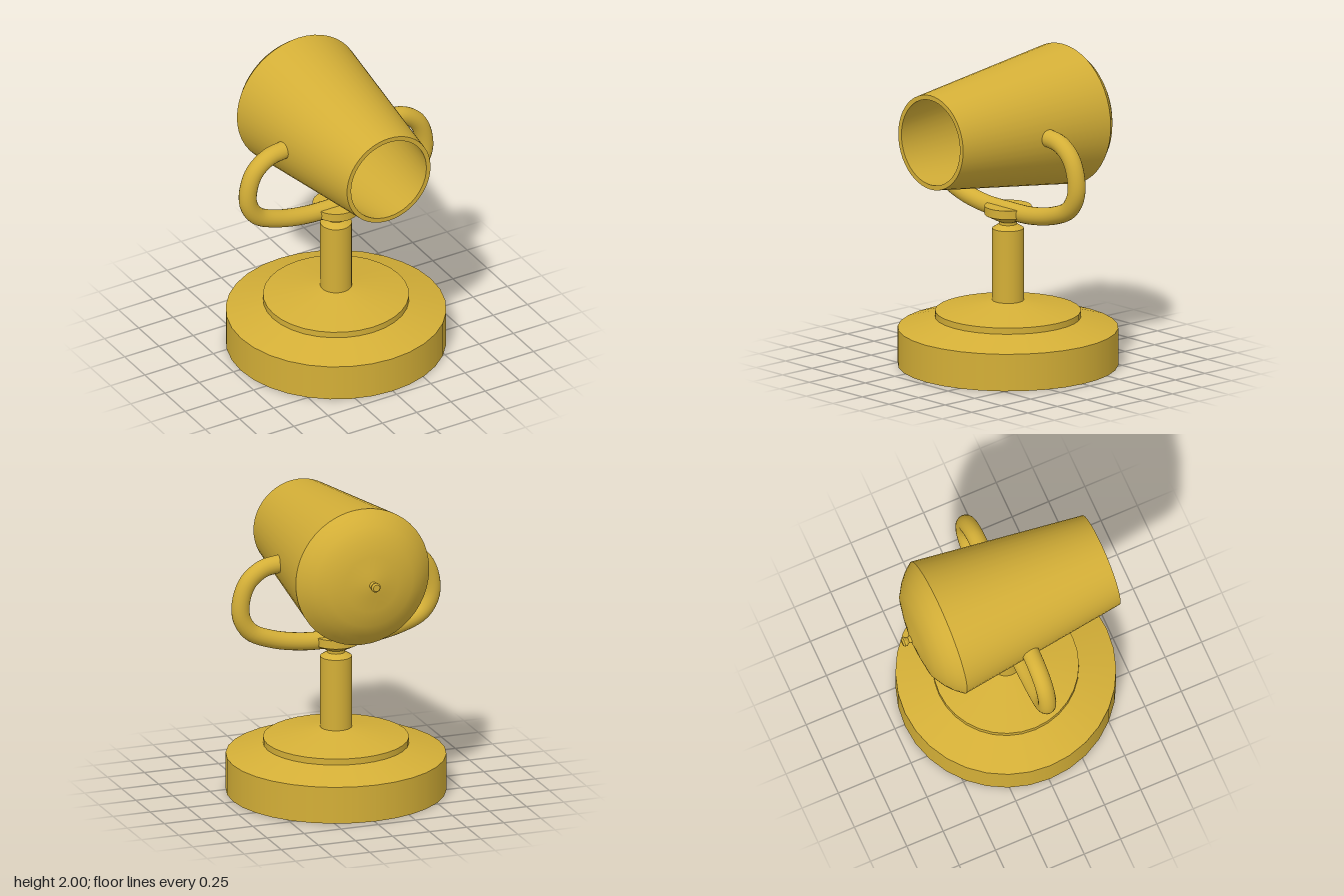
import * as THREE from 'three';
import { mergeGeometries } from 'three/addons/utils/BufferGeometryUtils.js';

const material = new THREE.MeshStandardMaterial({ color: 0xd4af37, side: THREE.DoubleSide });

// Revolves several [radius, height] runs; each run is smooth, with a sharp edge between runs.
function turned(runs, segments) {
  return mergeGeometries(runs.map((run) =>
    new THREE.LatheGeometry(run.map(([r, y]) => new THREE.Vector2(r, y)), segments)));
}

// Splits a profile so that every corner is sharp.
function sharp(points) {
  return points.slice(1).map((p, i) => [points[i], p]);
}

function addPart(parent, name, geometry) {
  const mesh = new THREE.Mesh(geometry, material);
  mesh.name = name;
  parent.add(mesh);
  return mesh;
}

export function createModel() {
  const model = new THREE.Group();
  model.name = 'spotlight';
  const lamp = new THREE.Group();
  lamp.name = 'lampHead';
  lamp.position.y = 1.55;
  lamp.rotation.x = Math.PI / 2; // profile height runs along +z
  const stand = new THREE.Group();
  stand.name = 'stand';
  stand.position.z = 0.01;
  const all = new THREE.Group();
  all.name = 'assembly';
  all.position.x = -0.007;
  all.add(stand, lamp);
  model.add(all);

  // Stepped round foot
  addPart(stand, 'base', turned(sharp([
    [0, 0], [0.695, 0], [0.695, 0.24], [0.46, 0.31], [0.46, 0.35], [0.1, 0.418], [0, 0.418],
  ]), 32));

  // Post with chamfered neck
  addPart(stand, 'post', turned(sharp([
    [0.1, 0.41], [0.1, 0.885], [0.057, 0.912], [0.057, 0.935],
  ]), 32));

  // Flared seat that carries the yoke
  addPart(stand, 'yokeSeat', turned(sharp([
    [0.057, 0.912], [0.057, 0.93], [0.075, 0.937], [0.148, 0.975], [0.148, 1.03], [0, 1.03],
  ]), 32));

  // Bent tube yoke, mirrored about the centre
  const half = [[0.375, 1.54], [0.49, 1.52], [0.59, 1.445], [0.638, 1.33], [0.638, 1.21],
    [0.575, 1.11], [0.43, 1.045], [0.22, 1.005]];
  const path = [
    ...half.map(([x, y]) => new THREE.Vector3(-x, y, 0)),
    new THREE.Vector3(0, 1.0, 0),
    ...half.slice().reverse().map(([x, y]) => new THREE.Vector3(x, y, 0)),
  ];
  const curve = new THREE.CatmullRomCurve3(path, false, 'centripetal');
  addPart(stand, 'yoke', new THREE.TubeGeometry(curve, 80, 0.057, 20));

  // Tapered hollow shade
  addPart(lamp, 'shade', turned(sharp([
    [0.45, -0.455], [0.305, 0.665], [0.275, 0.665], [0.42, -0.445], [0, -0.445],
  ]), 48));

  // Domed back cap
  addPart(lamp, 'backCap', turned([[
    [0, -0.645], [0.045, -0.643], [0.09, -0.633], [0.18, -0.62], [0.285, -0.598],
    [0.36, -0.55], [0.41, -0.505], [0.45, -0.455],
  ]], 48));

  // Small knob on the cap
  addPart(lamp, 'knob', turned(sharp([
    [0, -0.704], [0.022, -0.704], [0.031, -0.692], [0.031, -0.68], [0.02, -0.662], [0.026, -0.64],
  ]), 16));

  return model;
}
